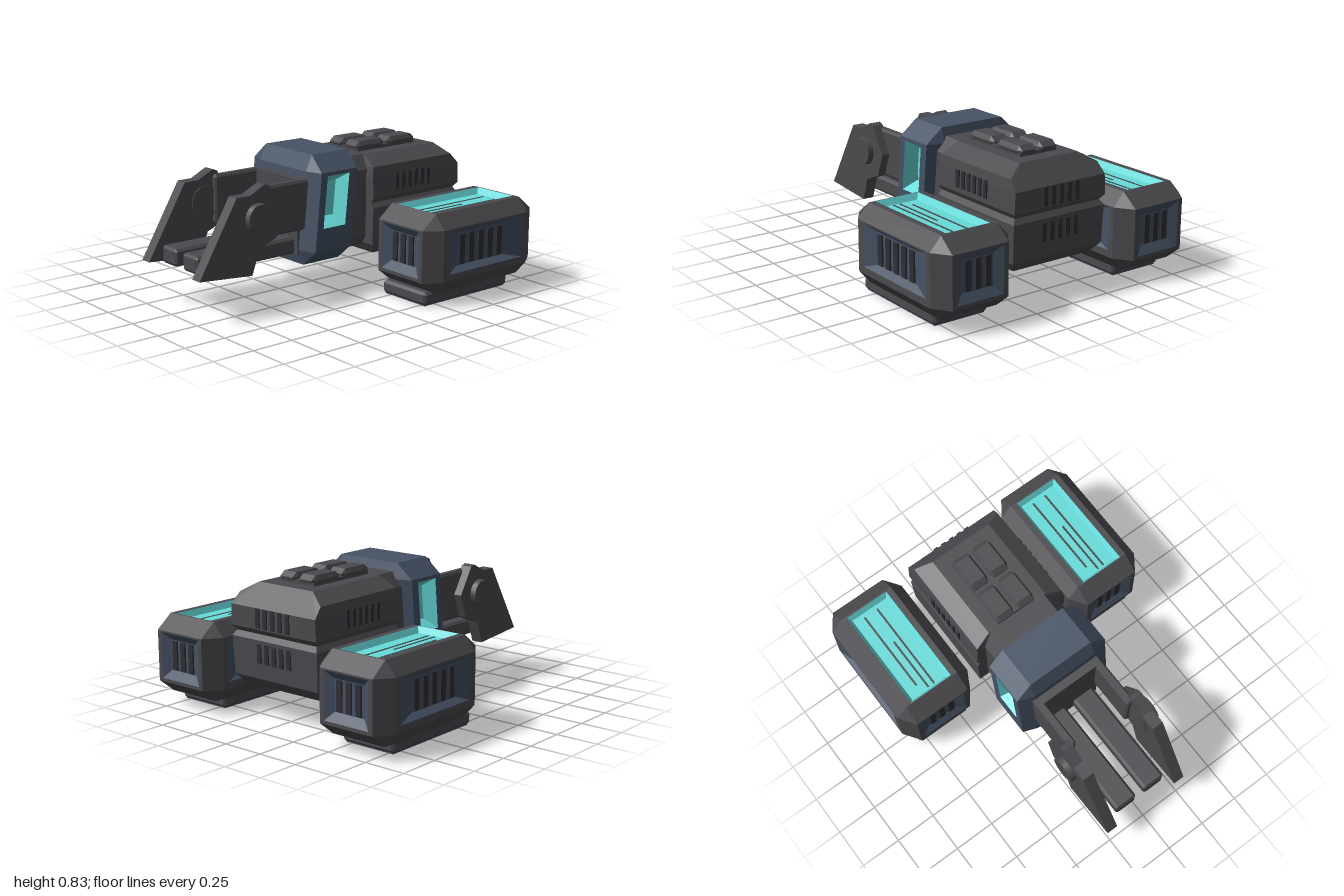
import * as THREE from 'three';
import { ConvexGeometry } from 'three/addons/geometries/ConvexGeometry.js';

function material(name, color) {
  const m = new THREE.MeshStandardMaterial({ color });
  m.name = name;
  return m;
}

export function createModel() {
  const mats = {
    hull: material('charcoal hull', 0x4b4a4e),
    armor: material('slate blue armor', 0x465265),
    glow: material('cyan panel', 0x66dcda),
    vent: material('dark vent', 0x303035),
  };
  const model = new THREE.Group();

  function add(parent, name, geo, mat, x = 0, y = 0, z = 0) {
    const mesh = new THREE.Mesh(geo, mats[mat]);
    mesh.name = name;
    mesh.position.set(x, y, z);
    parent.add(mesh);
    return mesh;
  }
  const box = (parent, name, mat, x0, x1, y0, y1, z0, z1) =>
    add(parent, name, new THREE.BoxGeometry(x1 - x0, y1 - y0, z1 - z0), mat,
      (x0 + x1) / 2, (y0 + y1) / 2, (z0 + z1) / 2);

  // Chamfered box with half sizes h and chamfers c. Each recess is
  // { axis, signs, rect, floor, depth, wallMat, floorMat }; rects are [u0, u1, v0, v1].
  function chamferBox(name, h, c, mat, recesses = [], shear = 0) {
    const data = {};
    const poly = (m, pts, dir) => {
      const n = pts[1].clone().sub(pts[0]).cross(pts[2].clone().sub(pts[0]));
      const p = n.dot(dir) < 0 ? [...pts].reverse() : pts;
      const out = (data[m] ??= []);
      for (let i = 1; i < p.length - 1; i++)
        for (const q of [p[0], p[i], p[i + 1]]) out.push(q.x + shear * q.y, q.y, q.z);
    };
    const corner = (face, s) =>
      new THREE.Vector3(...s.map((k, i) => k * (h[i] - (i === face ? 0 : c[i]))));
    const signs = [-1, 1];
    for (let a = 0; a < 3; a++) {
      const u = (a + 1) % 3, v = (a + 2) % 3;
      // Faces, with an optional sloped recess
      for (const s of signs) {
        const ring = ([u0, u1, v0, v1], depth) =>
          [[u0, v0], [u1, v0], [u1, v1], [u0, v1]].map(([p, q]) => {
            const k = [0, 0, 0];
            k[a] = s * (h[a] - depth); k[u] = p; k[v] = q;
            return new THREE.Vector3(...k);
          });
        const dir = new THREE.Vector3().setComponent(a, s);
        const U = h[u] - c[u], V = h[v] - c[v];
        const outer = ring([-U, U, -V, V], 0);
        const r = recesses.find(e => e.axis === a && e.signs.includes(s));
        if (!r) { poly(mat, outer, dir); continue; }
        const rim = ring(r.rect, 0), floor = ring(r.floor, r.depth);
        for (let i = 0; i < 4; i++) {
          const j = (i + 1) % 4;
          poly(mat, [outer[i], outer[j], rim[j], rim[i]], dir);
          poly(r.wallMat, [rim[i], rim[j], floor[j], floor[i]], dir);
        }
        poly(r.floorMat, floor, dir);
      }
      // Edge bevels
      for (const su of signs) for (const sv of signs) {
        const at = e => { const k = [0, 0, 0]; k[a] = e; k[u] = su; k[v] = sv; return k; };
        poly(mat, [corner(u, at(-1)), corner(u, at(1)), corner(v, at(1)), corner(v, at(-1))],
          new THREE.Vector3(...at(0)));
      }
    }
    // Corner bevels
    for (const x of signs) for (const y of signs) for (const z of signs)
      poly(mat, [0, 1, 2].map(f => corner(f, [x, y, z])), new THREE.Vector3(x, y, z));
    const group = new THREE.Group();
    group.name = name;
    for (const m in data) {
      const g = new THREE.BufferGeometry();
      g.setAttribute('position', new THREE.Float32BufferAttribute(data[m], 3));
      g.computeVertexNormals();
      add(group, name + ' ' + m, g, m);
    }
    return group;
  }
  function place(parent, part, x, y, z) {
    part.position.set(x, y, z);
    parent.add(part);
    return part;
  }

  // Convex block from levels [y, x0, x1, half depth]
  const block = (name, levels) => add(model, name, new ConvexGeometry(
    levels.flatMap(([y, x0, x1, z]) => [[x0, z], [x1, z], [x0, -z], [x1, -z]]
      .map(([x, d]) => new THREE.Vector3(x, y, d)))), 'hull');

  // Main body in two halves with a seam, and the neck behind the collar
  block('upperBody', [[0.5, 0.2, 0.86, 0.295], [0.53, 0.2, 0.885, 0.315],
    [0.65, 0.2, 0.885, 0.31], [0.71, 0.21, 0.83, 0.3], [0.77, 0.23, 0.78, 0.2]]);
  block('lowerBody', [[0.5, 0.2, 0.86, 0.295], [0.47, 0.2, 0.88, 0.315],
    [0.25, 0.2, 0.87, 0.31], [0.19, 0.24, 0.82, 0.27]]);
  block('neck', [[0.24, 0.02, 0.26, 0.22], [0.3, 0.02, 0.26, 0.25],
    [0.69, 0.02, 0.26, 0.25], [0.77, 0.02, 0.26, 0.19]]);

  // Body vents: side slots and two rows on the end
  for (let i = 0; i < 6; i++)
    for (const s of [-1, 1])
      box(model, 'sideVentSlot', 'vent', 0.37 + i * 0.05, 0.395 + i * 0.05, 0.56, 0.66,
        s * 0.312 - 0.008, s * 0.312 + 0.008);
  for (let i = -2; i <= 2; i++) {
    box(model, 'upperEndSlot', 'vent', 0.87, 0.892, 0.54, 0.65, i * 0.055 - 0.014, i * 0.055 + 0.014);
    box(model, 'lowerEndSlot', 'vent', 0.865, 0.884, 0.34, 0.45, i * 0.055 - 0.014, i * 0.055 + 0.014);
  }

  // Roof hatch: four pads on a base plate
  box(model, 'hatchBase', 'hull', 0.24, 0.69, 0.76, 0.79, -0.125, 0.125);
  for (const sx of [-1, 1]) for (const sz of [-1, 1])
    place(model, chamferBox('hatchPad', [0.11, 0.03, 0.06], [0.03, 0.025, 0.015], 'hull'),
      0.465 + sx * 0.122, 0.797, sz * 0.07);

  // Leaning collar with a cyan window on each side
  place(model, chamferBox('collar', [0.165, 0.315, 0.31], [0.035, 0.09, 0.1], 'armor', [{
    axis: 2, signs: [-1, 1], rect: [-0.085, 0.075, -0.095, 0.205],
    floor: [-0.055, 0.045, -0.045, 0.155], depth: 0.08, wallMat: 'glow', floorMat: 'glow',
  }], 0.1), -0.075, 0.505, 0);

  // Side pods with vents, cyan top troughs and skids
  for (const side of [-1, 1]) {
    const pod = new THREE.Group();
    pod.name = side > 0 ? 'frontPod' : 'backPod';
    place(model, pod, 0.565, 0.295, side * 0.62);
    pod.add(chamferBox('podShell', [0.435, 0.23, 0.248], [0.1, 0.08, 0.07], 'hull', [
      { axis: 2, signs: [-1, 1], rect: [-0.29, 0.3, -0.11, 0.14], floor: [-0.2, 0.17, -0.08, 0.11],
        depth: 0.035, wallMat: 'armor', floorMat: 'armor' },
      { axis: 0, signs: [-1, 1], rect: [-0.13, 0.14, -0.15, 0.15], floor: [-0.08, 0.1, -0.1, 0.1],
        depth: 0.03, wallMat: 'armor', floorMat: 'armor' },
      { axis: 1, signs: [1], rect: [-0.14, 0.14, -0.33, 0.325], floor: [-0.12, 0.12, -0.31, 0.305],
        depth: 0.035, wallMat: 'glow', floorMat: 'glow' },
    ]));
    for (const s of [-1, 1]) {
      for (let i = 0; i < 5; i++)
        box(pod, 'podSideSlot', 'vent', -0.185 + i * 0.075, -0.145 + i * 0.075, -0.075, 0.1,
          s * 0.215 - 0.008, s * 0.215 + 0.008);
      for (let i = -1; i <= 1; i++)
        box(pod, 'podEndSlot', 'vent', s * 0.407 - 0.008, s * 0.407 + 0.008, -0.075, 0.095,
          i * 0.065 - 0.018, i * 0.065 + 0.018);
    }
    // Thin dark grooves along the cyan trough
    for (const [x0, x1, z] of [[-0.3, 0.05, 0.0], [-0.3, 0.28, 0.04], [-0.25, 0.28, -0.05]])
      box(pod, 'troughGroove', 'hull', x0, x1, 0.193, 0.197, z - 0.006, z + 0.006);
    place(pod, chamferBox('skid', [0.335, 0.0375, 0.175], [0.015, 0.015, 0.015], 'hull'),
      -0.07, -0.2515, 0);
    box(pod, 'skidSole', 'armor', -0.39, 0.25, -0.295, -0.287, -0.16, 0.16);
  }

  // Forward arms, mirrored: rails, beams, blades and pivots
  const blade = new THREE.Shape([[-1, 0.25], [-0.65, 0.22], [-0.6, 0.36], [-0.48, 0.41],
    [-0.43, 0.55], [-0.53, 0.71], [-0.56, 0.72], [-0.66, 0.67], [-0.75, 0.67]]
    .map(p => new THREE.Vector2(...p)));
  const bladeGeo = new THREE.ExtrudeGeometry(blade, { depth: 0.07, bevelEnabled: false });
  const pivotGeo = new THREE.CylinderGeometry(0.08, 0.095, 0.11, 16).rotateX(Math.PI / 2);
  box(model, 'armMount', 'hull', -0.27, -0.1, 0.25, 0.69, -0.2, 0.2);
  for (const s of [-1, 1]) {
    place(model, chamferBox('lowerRail', [0.375, 0.05, 0.07], [0.01, 0.015, 0.015], 'hull'),
      -0.565, 0.3, s * 0.1);
    place(model, chamferBox('upperBeam', [0.22, 0.145, 0.025], [0.01, 0.015, 0.01], 'hull'),
      -0.34, 0.545, s * 0.205);
    add(model, 'blade', bladeGeo, 'hull', 0, 0, s > 0 ? 0.21 : -0.28);
    const pivot = add(model, 'pivot', pivotGeo, 'hull', -0.61, 0.54, s * 0.258);
    if (s < 0) pivot.rotation.y = Math.PI;
  }
  return model;
}
